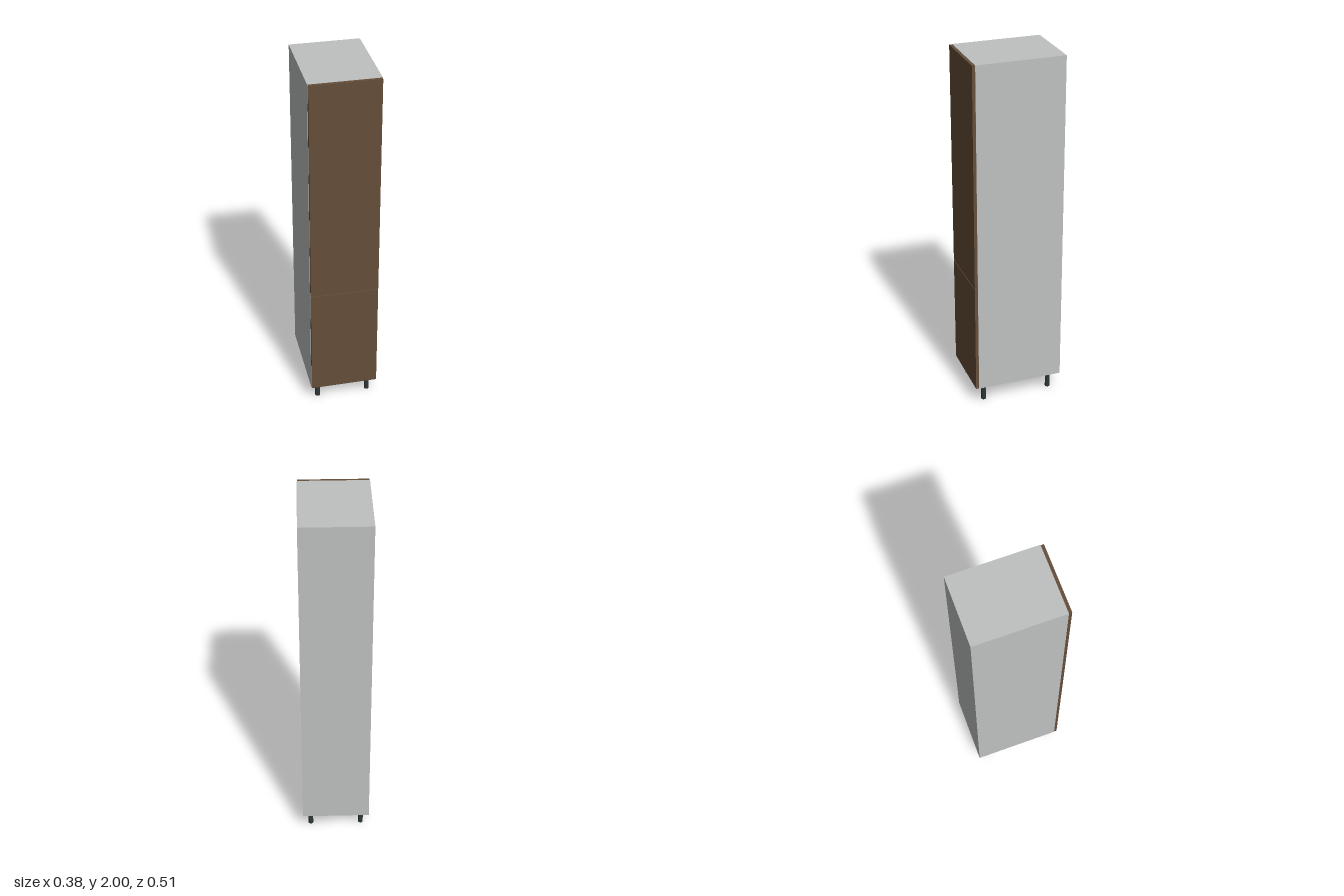
import * as THREE from 'three';

export function createModel() {
  const model = new THREE.Group();
  model.name = 'tallCabinet';

  const mat = (name, color) => {
    const m = new THREE.MeshStandardMaterial({ color });
    m.name = name;
    return m;
  };
  const grey = mat('light grey board', 0xbfc1c0);
  const brown = mat('brown wood', 0x654e39);
  const black = mat('dark leg plastic', 0x2f3739);

  // Adds a box given by its extents on each axis
  const panel = (name, material, [x0, x1], [y0, y1], [z0, z1]) => {
    const mesh = new THREE.Mesh(new THREE.BoxGeometry(x1 - x0, y1 - y0, z1 - z0), material);
    mesh.position.set((x0 + x1) / 2, (y0 + y1) / 2, (z0 + z1) / 2);
    mesh.name = name;
    model.add(mesh);
  };

  const W = 0.19, T = 0.015, BOTTOM = 0.1, TOP = 2;
  const BACK = -0.253, FRONT = 0.236, DOOR = 0.253;
  const inner = [-W + T, W - T];
  const depth = [BACK, FRONT];

  // Carcass
  panel('leftSide', grey, [W - T, W], [BOTTOM, TOP], depth);
  panel('rightSide', grey, [-W, -W + T], [BOTTOM, TOP], depth);
  panel('topPanel', grey, inner, [TOP - T, TOP], depth);
  panel('bottomPanel', grey, inner, [BOTTOM, BOTTOM + T], depth);
  panel('backPanel', grey, inner, [BOTTOM + T, TOP - T], [BACK, BACK + T]);
  panel('middleShelf', grey, inner, [0.73, 0.745], [BACK + T, FRONT]);

  // Doors with a narrow gap between them
  panel('lowerDoor', brown, [-0.188, 0.188], [BOTTOM + 0.001, 0.736], [FRONT, DOOR]);
  panel('upperDoor', brown, [-0.188, 0.188], [0.741, TOP - 0.001], [FRONT, DOOR]);

  // Legs
  const legGeometry = new THREE.CylinderGeometry(0.014, 0.014, BOTTOM, 24);
  for (const x of [-0.145, 0.145]) {
    for (const z of [-0.195, 0.195]) {
      const leg = new THREE.Mesh(legGeometry, black);
      leg.position.set(x, BOTTOM / 2, z);
      leg.name = (z > 0 ? 'front' : 'back') + (x > 0 ? 'Left' : 'Right') + 'Leg';
      model.add(leg);
    }
  }

  return model;
}
